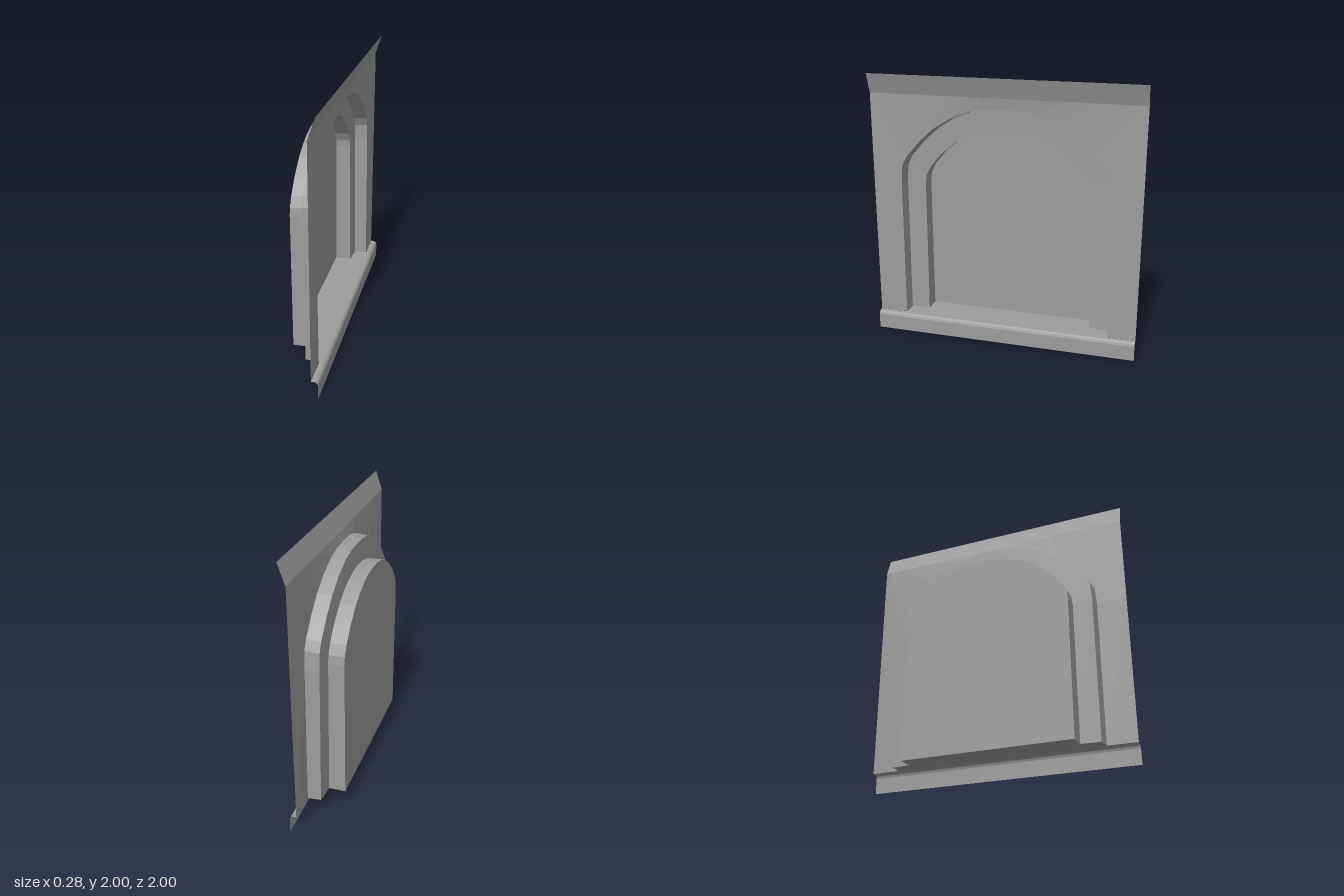
import * as THREE from 'three';

const material = new THREE.MeshStandardMaterial({
  color: 0x9d9d9d, flatShading: true, side: THREE.DoubleSide,
});

// Skin a sheet between consecutive rows of [x, y, z] points of equal length
function loft(name, rows) {
  const n = rows[0].length;
  const index = [];
  for (let r = 0; r < rows.length - 1; r++) {
    for (let i = 0; i < n - 1; i++) {
      const a = r * n + i, b = a + 1, c = a + n, d = c + 1;
      index.push(a, c, b, b, c, d);
    }
  }
  const geometry = new THREE.BufferGeometry();
  geometry.setAttribute('position', new THREE.Float32BufferAttribute(rows.flat(2), 3));
  geometry.setIndex(index);
  geometry.computeVertexNormals();
  const mesh = new THREE.Mesh(geometry, material);
  mesh.name = name;
  return mesh;
}

// Mirror half an outline of [z, y] points across z = 0 at depth x; the foot may sit at its own depth
function ring(half, x, footX = x) {
  const left = half.map(([z, y], i) => [i === 0 ? footX : x, y, z]);
  const right = left.slice(0, -1).reverse().map(([px, y, z]) => [px, y, -z]);
  return [...left, ...right];
}

// Straight moulding: an [x, y] profile run across the full width
function moulding(name, profile) {
  return loft(name, [1, -1].map(z => profile.map(([x, y]) => [x, y, z])));
}

export function createModel() {
  const group = new THREE.Group();
  const floorY = 0.139;
  const wallX = 0.091, backX = -0.14;

  // Half outlines from the foot of the jamb to the crown
  const border = [[1, floorY], [1, 1.2], [1, 1.55], [1, 1.855], [0.8, 1.855],
    [0.63, 1.855], [0.45, 1.855], [0.27, 1.855], [0.13, 1.855], [0, 1.855]];
  const outerArch = [[0.787, floorY], [0.787, 1.195], [0.777, 1.32], [0.743, 1.388], [0.631, 1.516],
    [0.524, 1.612], [0.4, 1.69], [0.246, 1.751], [0.128, 1.773], [0, 1.778]];
  const innerArch = [[0.638, floorY], [0.638, 1.17], [0.63, 1.23], [0.594, 1.3], [0.513, 1.397],
    [0.4, 1.493], [0.31, 1.545], [0.21, 1.583], [0.11, 1.605], [0, 1.612]];
  // The outer reveal narrows slightly towards the step
  const stepArch = outerArch.map(([z, y], i) => [z * 0.99, i === 0 ? y : y - 0.01]);

  // The lip and step lean slightly forward at the foot
  const lip = ring(outerArch, 0.079, 0.088);
  const stepOuter = ring(stepArch, -0.02, -0.008);
  const stepInner = ring(innerArch, -0.028, -0.018);
  const back = ring(innerArch, backX);
  const foot = back.map(() => [backX, floorY, 0]);

  group.add(
    loft('wall', [ring(border, wallX), lip]),
    loft('outerReveal', [lip, stepOuter]),
    loft('step', [stepOuter, stepInner]),
    loft('innerReveal', [stepInner, back]),
    loft('backPanel', [back, foot]),
  );

  // Niche floor joins the feet of the stepped jambs
  const plan = [[wallX, floorY, 0.787], lip[0], stepOuter[0], stepInner[0], back[0]];
  group.add(loft('nicheFloor', [1, -1].map(s => plan.map(([x, y, z]) => [x, y, s * z]))));

  // Flared top edge and rounded sill with its skirt
  group.add(
    moulding('topFlare', [[wallX, 1.855], [0.14, 2]]),
    moulding('sill', [[0.14, 0], [0.14, 0.112], [0.134, 0.128], [0.12, floorY], [wallX, floorY]]),
  );
  return group;
}
